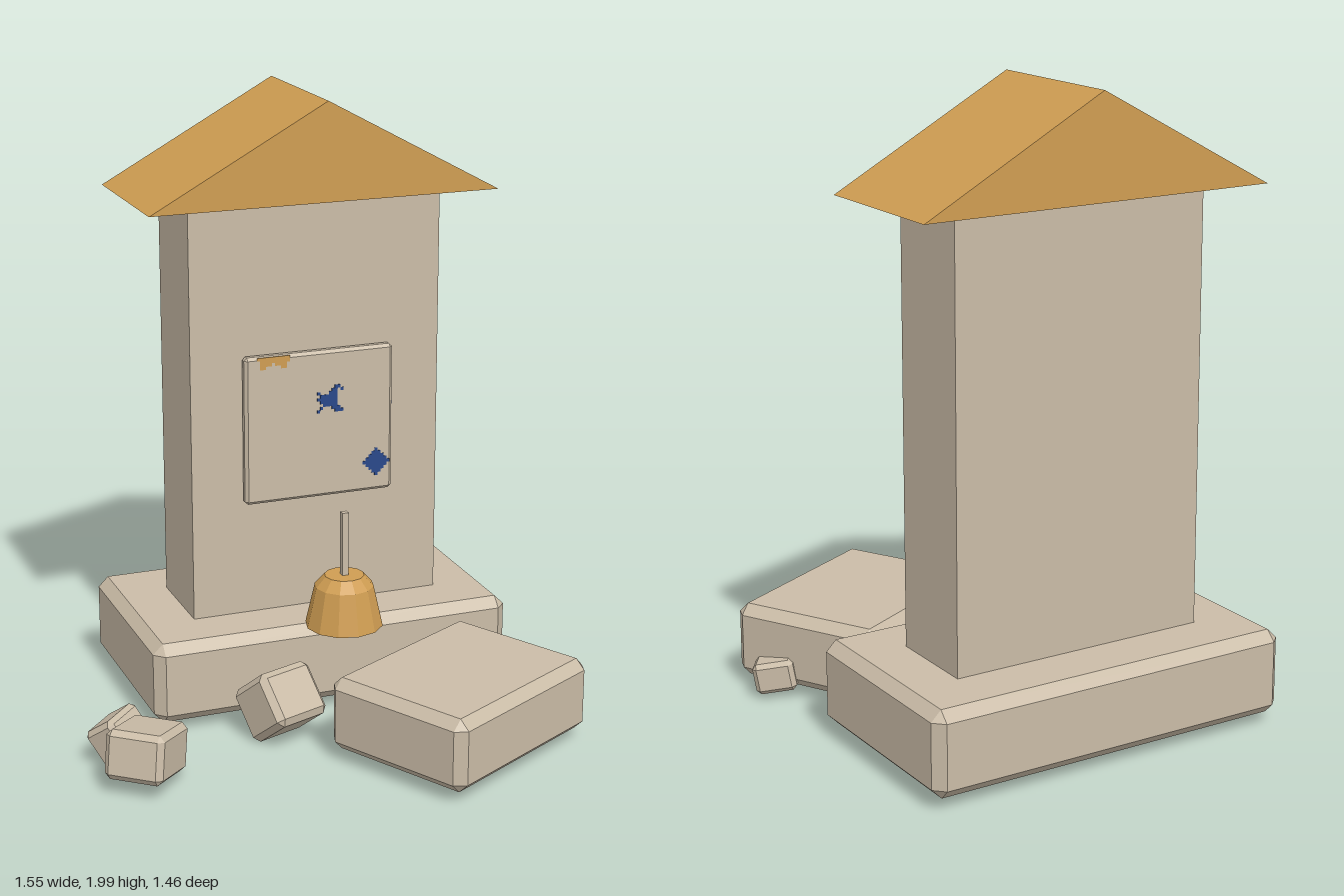
import * as THREE from 'three';
import { mergeGeometries } from 'three/addons/utils/BufferGeometryUtils.js';
import { ConvexGeometry } from 'three/addons/geometries/ConvexGeometry.js';

// Box with every edge and corner cut flat
function chamferBox(w, h, d, c) {
  const points = [];
  for (const sx of [-1, 1]) for (const sy of [-1, 1]) for (const sz of [-1, 1]) {
    const x = w / 2, y = h / 2, z = d / 2;
    points.push(
      new THREE.Vector3(sx * x, sy * (y - c), sz * (z - c)),
      new THREE.Vector3(sx * (x - c), sy * y, sz * (z - c)),
      new THREE.Vector3(sx * (x - c), sy * (y - c), sz * z));
  }
  return new ConvexGeometry(points);
}

// Thin plate made of small squares, one per '#'
function pixelPlate(rows, size) {
  const cells = [];
  rows.forEach((row, j) => [...row].forEach((ch, i) => {
    if (ch !== '#') return;
    const g = new THREE.BoxGeometry(size, size, 0.003);
    g.translate((i - (row.length - 1) / 2) * size, ((rows.length - 1) / 2 - j) * size, 0);
    cells.push(g);
  }));
  return mergeGeometries(cells);
}

export function createModel() {
  const model = new THREE.Group();
  model.name = 'ruinedShrine';
  const material = (name, color) => {
    const m = new THREE.MeshStandardMaterial({ color, flatShading: true });
    m.name = name;
    return m;
  };
  const stone = material('stone', 0xcabca7);
  const ochre = material('ochre', 0xcf9d52);
  const blue = material('blue', 0x29488a);

  const add = (name, geometry, mat, pos, rot = [0, 0, 0]) => {
    const mesh = new THREE.Mesh(geometry, mat);
    mesh.name = name;
    mesh.position.set(...pos);
    mesh.rotation.set(...rot.map(THREE.MathUtils.degToRad), 'YXZ');
    model.add(mesh);
    return mesh;
  };

  // Plinth and pillar
  add('plinth', chamferBox(1.22, 0.27, 0.69, 0.033), stone, [0.1, 0.185, -0.393]);
  add('pillar', new THREE.BoxGeometry(0.845, 1.38, 0.3), stone, [0.102, 1.0, -0.39]);

  // Gabled roof with a shallow lip underneath
  const gable = new THREE.Shape([
    new THREE.Vector2(-0.578, 0), new THREE.Vector2(0.578, 0), new THREE.Vector2(0, 0.315)]);
  const roof = new THREE.ExtrudeGeometry(gable, { depth: 0.51, bevelEnabled: false });
  add('roof', roof, ochre, [0.102, 1.685, -0.643]);
  add('roofLip', new THREE.BoxGeometry(0.955, 0.02, 0.315), ochre, [0.1, 1.69, -0.388]);

  // Plaque with painted marks
  add('plaque', chamferBox(0.505, 0.49, 0.036, 0.01), stone, [0.102, 0.944, -0.224]);
  const front = -0.2055;
  add('starMark', pixelPlate([
    '......##.',
    '.....##.#',
    '#...###..',
    '.######..',
    '#######..',
    '.######..',
    '..#####..',
    '.#...###.',
    '#.....###'], 0.01), blue, [0.138, 1.028, front]);
  add('diamondMark', pixelPlate([
    '....#....',
    '...###...',
    '..#####..',
    '.#######.',
    '#########',
    '.#######.',
    '..#####..',
    '...###...',
    '....#....'], 0.0105), blue, [0.298, 0.797, front]);
  add('topMark', pixelPlate([
    '###########',
    '.##########',
    '.####.####.',
    '.##.....##.'], 0.01), ochre, [-0.055, 1.167, front]);
  add('edgeMark', new THREE.BoxGeometry(0.003, 0.025, 0.01), blue, [0.355, 0.997, -0.223]);

  // Bell on a square rod
  const profile = [[0, 0.322], [0.125, 0.342], [0.095, 0.475], [0.064, 0.51], [0, 0.51]]
    .map(([r, y]) => new THREE.Vector2(r, y));
  add('bell', new THREE.LatheGeometry(profile, 12), ochre, [0.102, 0, 0.012]);
  add('bellRod', new THREE.BoxGeometry(0.021, 0.24, 0.021), stone, [0.102, 0.6, 0.012]);

  // Fallen block and rubble: name, size, chamfer, position, rotation
  const rubble = [
    ['fallenBlock', [0.66, 0.24, 0.525], 0.032, [0.356, 0.168, 0.355], [0, 28, 0]],
    ['rubbleByBell', [0.2, 0.18, 0.19], 0.02, [-0.137, 0.132, 0.07], [-38, 20, 0]],
    ['rubbleLeftFront', [0.215, 0.155, 0.19], 0.018, [-0.637, 0.13, 0.252], [0, 50, -10]],
    ['rubbleLeftBack', [0.15, 0.13, 0.13], 0.016, [-0.667, 0.105, 0.07], [-35, 35, 8]],
    ['rubbleRight', [0.13, 0.1, 0.13], 0.014, [0.69, 0.088, 0.3], [0, -35, -10]],
  ];
  for (const [name, size, c, pos, rot] of rubble) add(name, chamferBox(...size, c), stone, pos, rot);

  return model;
}
